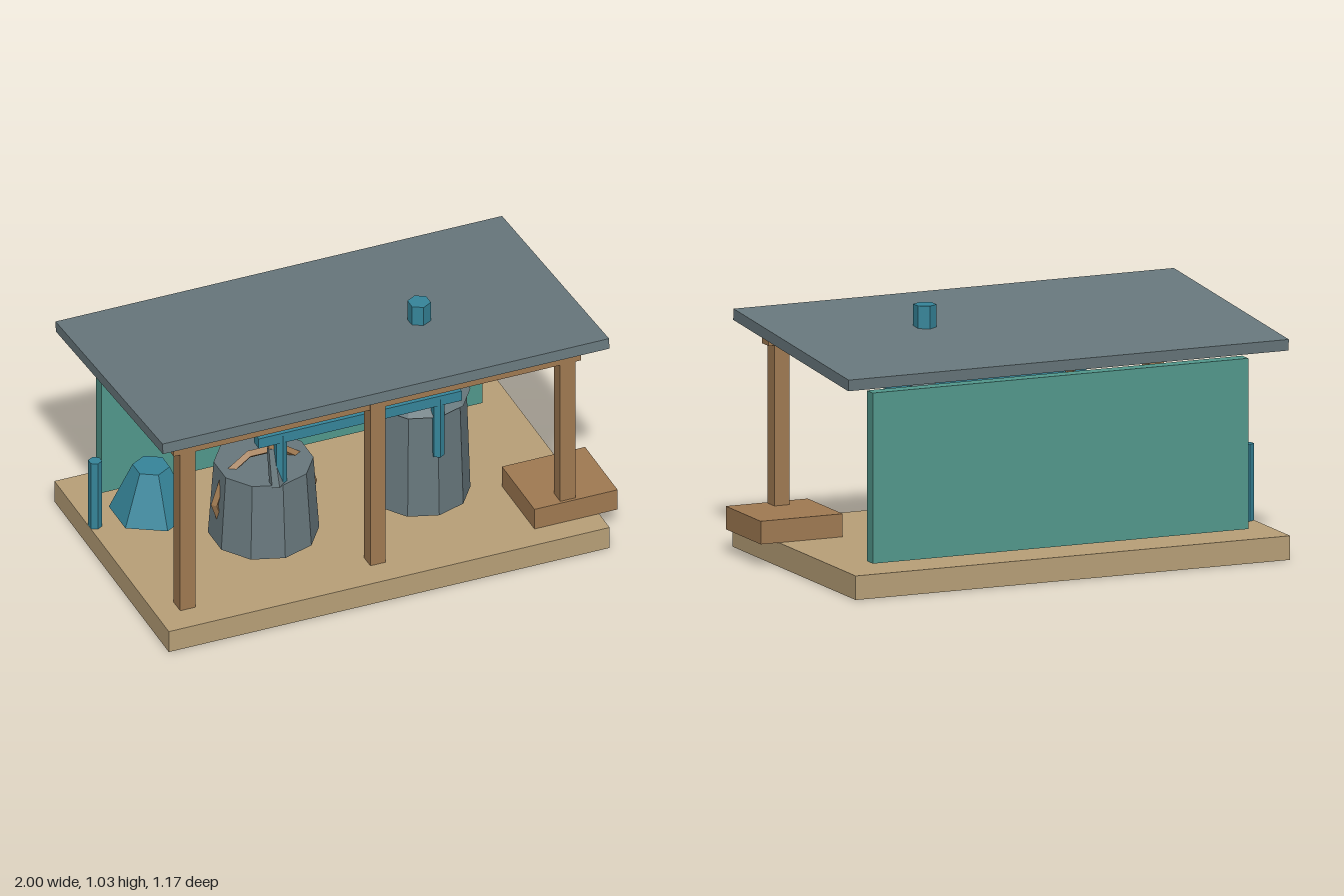
import * as THREE from 'three';

export function createModel() {
  const model = new THREE.Group();
  const paint = (color) => new THREE.MeshStandardMaterial({ color, flatShading: true });
  const sand = paint(0xb8a078);
  const wood = paint(0xa07a52);
  const metal = paint(0x68787d);
  const blue = paint(0x36859a);
  const teal = paint(0x52988c);

  const add = (name, geometry, material, x, y, z) => {
    const mesh = new THREE.Mesh(geometry, material);
    mesh.name = name;
    mesh.position.set(x, y, z);
    model.add(mesh);
    return mesh;
  };
  // Box given by its extents along each axis
  const box = (name, material, [x0, x1], [y0, y1], [z0, z1]) =>
    add(name, new THREE.BoxGeometry(x1 - x0, y1 - y0, z1 - z0), material,
      (x0 + x1) / 2, (y0 + y1) / 2, (z0 + z1) / 2);
  // Upright faceted cylinder or frustum
  const drum = (name, material, sides, rTop, rBottom, [y0, y1], x, z) =>
    add(name, new THREE.CylinderGeometry(rTop, rBottom, y1 - y0, sides), material, x, (y0 + y1) / 2, z);

  // Platform, step and back wall
  box('platform', sand, [-0.99, 0.92], [0, 0.098], [-0.585, 0.585]);
  box('step', wood, [0.64, 1], [0.098, 0.192], [0.145, 0.478]);
  box('backWall', teal, [-0.86, 0.79], [0.115, 0.81], [-0.467, -0.41]);
  box('wallPanel', blue, [0.47, 0.655], [0.125, 0.403], [-0.41, -0.365]);

  // Front posts, beam and sloping roof
  for (const x of [-0.857, -0.033, 0.79]) {
    box('post', wood, [x - 0.033, x + 0.033], [0.098, 0.91], [0.399, 0.465]);
  }
  box('roofBeam', wood, [-0.917, 0.847], [0.845, 0.9], [0.401, 0.463]);
  const roof = add('roof', new THREE.BoxGeometry(1.935, 0.046, 1.098), metal, -0.033, 0.911, 0);
  roof.rotation.x = -0.08;

  // Tall vat with conical lid and chimney
  drum('tallVat', metal, 10, 0.19, 0.205, [0.13, 0.6], 0.31, 0.078);
  drum('vatLid', metal, 10, 0, 0.205, [0.6, 0.733], 0.31, 0.078);
  drum('chimney', blue, 6, 0.047, 0.047, [0.745, 1.03], 0.31, 0.077);

  // Open-fire vat with a wooden hoop and a leaning paddle
  drum('lowVat', metal, 10, 0.2, 0.223, [0.13, 0.466], -0.375, 0.102);
  add('hoop', new THREE.TorusGeometry(0.212, 0.018, 4, 10), wood, -0.375, 0.31, 0.107);
  const paddle = new THREE.Group();
  paddle.name = 'paddle';
  const blade = new THREE.Mesh(new THREE.CylinderGeometry(0.022, 0.03, 0.16, 6), metal);
  blade.name = 'paddleBlade';
  const handle = new THREE.Mesh(new THREE.CylinderGeometry(0.02, 0.02, 0.1, 6), wood);
  handle.name = 'paddleHandle';
  handle.position.y = 0.125;
  paddle.add(blade, handle);
  paddle.position.set(-0.392, 0.53, 0.255);
  paddle.rotation.x = -0.3;
  model.add(paddle);

  // Overhead pipe with two drops
  box('overheadPipe', blue, [-0.475, 0.405], [0.66, 0.706], [0.24, 0.289]);
  drum('dropPipe', blue, 6, 0.027, 0.027, [0.463, 0.69], -0.37, 0.264);
  drum('dropPipe', blue, 6, 0.027, 0.027, [0.412, 0.69], 0.312, 0.264);

  // Hopper and outlet post at the right end
  drum('hopper', blue, 6, 0.075, 0.17, [0.255, 0.466], -0.805, -0.033);
  drum('outletPost', blue, 6, 0.028, 0.028, [0.098, 0.411], -0.965, -0.228);

  return model;
}
